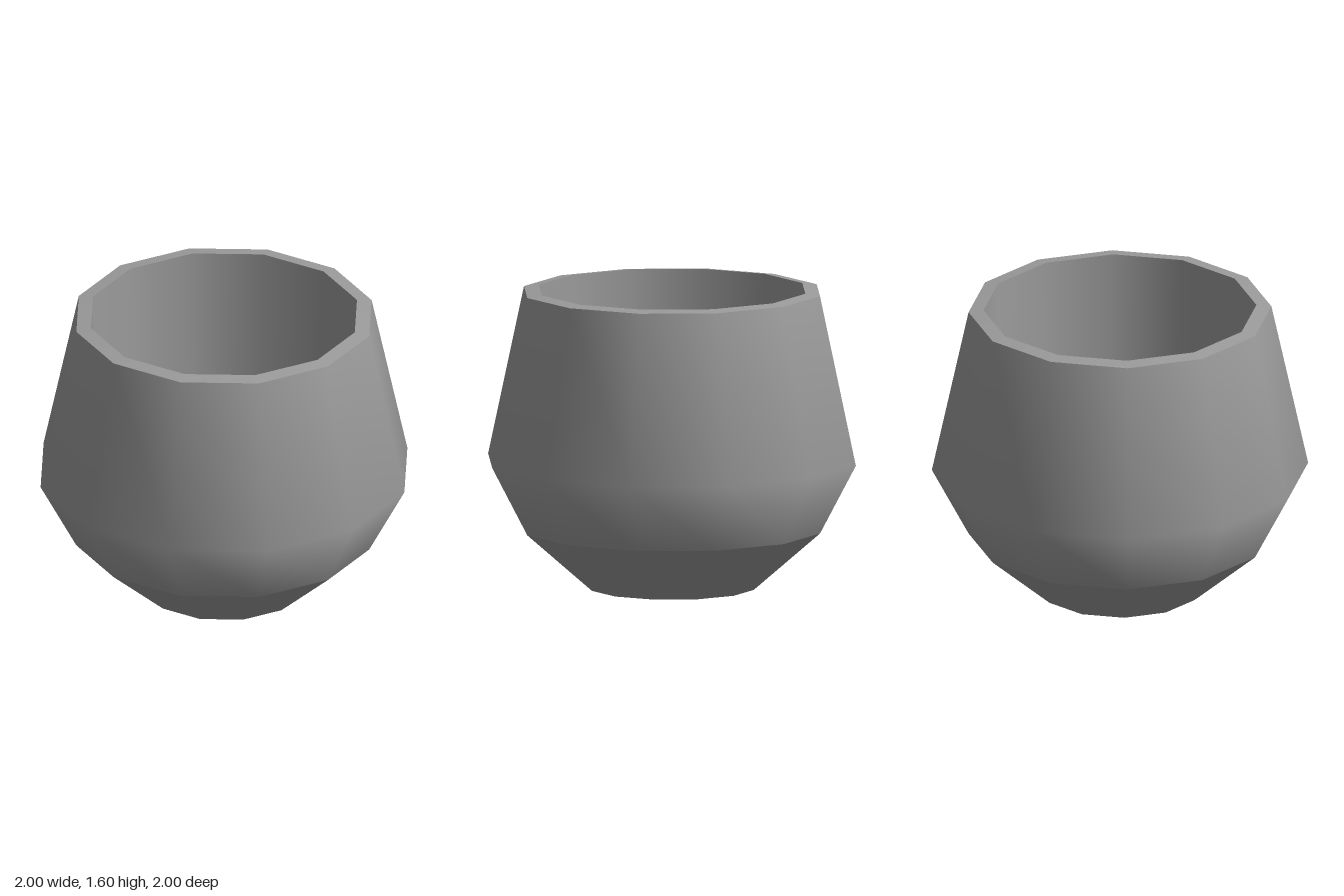
import * as THREE from 'three';

const SIDES = 12;
const material = new THREE.MeshStandardMaterial({ color: 0x9b9b9b, side: THREE.DoubleSide });

// One smooth band of the turned wall; bands meet in sharp edges.
function band(name, profile) {
  const points = profile.map(([r, y]) => new THREE.Vector2(r, y));
  const mesh = new THREE.Mesh(new THREE.LatheGeometry(points, SIDES), material);
  mesh.name = name;
  return mesh;
}

export function createModel() {
  const cup = new THREE.Group();
  cup.name = 'cup';

  // The closed profile runs from the underside, up the outside, over the rim and down inside.
  cup.add(
    band('underside', [[0, 0], [0.445, 0]]),
    band('outerBase', [[0.445, 0], [0.805, 0.315]]),
    band('outerBody', [[0.805, 0.315], [1, 0.685], [0.805, 1.59]]),
    band('rim', [[0.805, 1.59], [0.725, 1.6]]),
    band('innerWall', [[0.725, 1.6], [0.705, 0.345]]),
    band('innerBase', [[0.705, 0.345], [0.4, 0.075]]),
    band('innerFloor', [[0.4, 0.075], [0, 0.075]]),
  );
  return cup;
}
